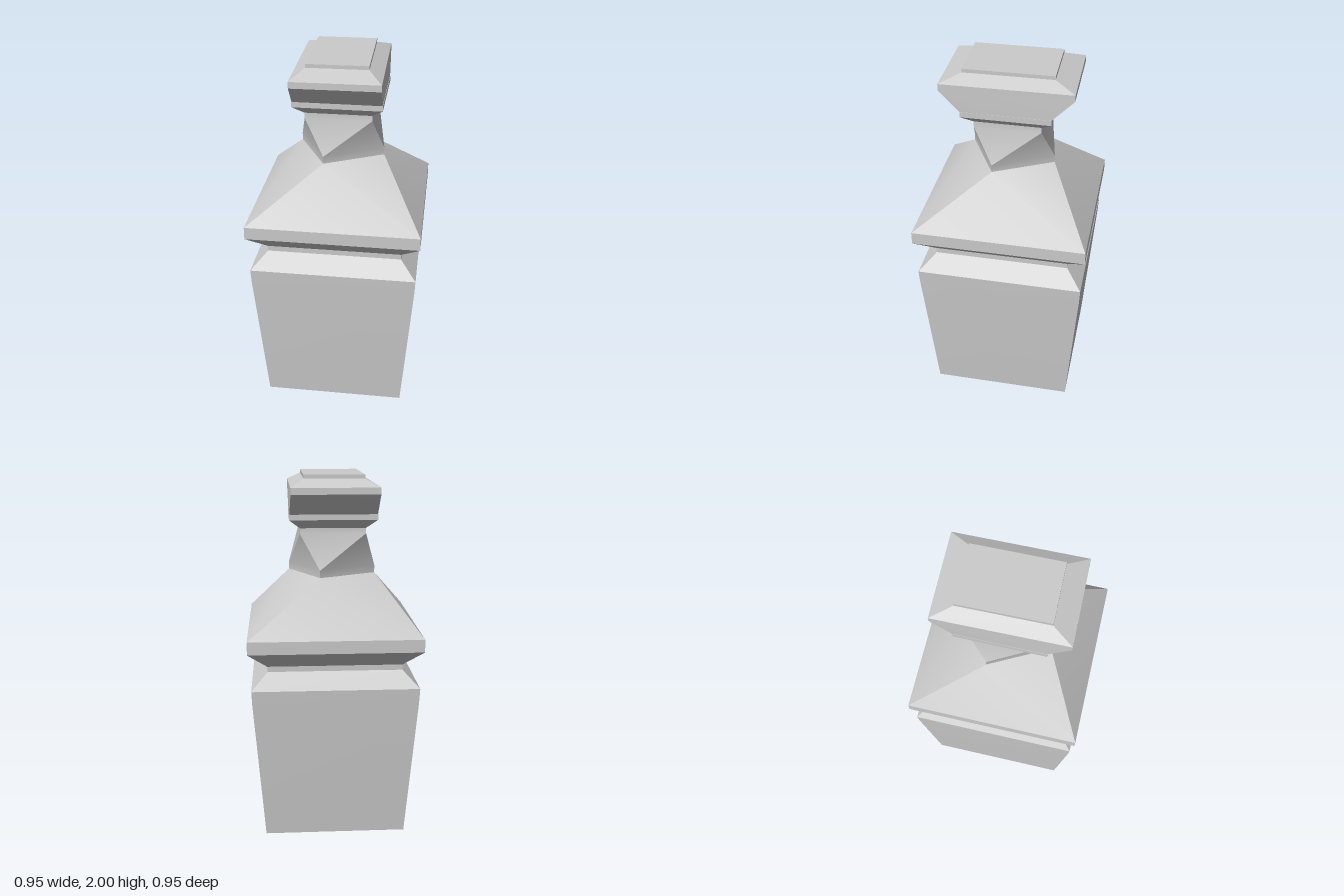
import * as THREE from 'three';
import { toCreasedNormals } from 'three/addons/utils/BufferGeometryUtils.js';

const CORNERS = [[-1, 1], [1, 1], [1, -1], [-1, -1]];

// Four corners of a rectangular section, turned about the vertical axis.
function ring({ y, x, z = x, turn = 0 }) {
  const t = THREE.MathUtils.degToRad(turn);
  const c = Math.cos(t), s = Math.sin(t);
  return CORNERS.map(([i, k]) => [i * x * c + k * z * s, y, k * z * c - i * x * s]);
}

// Closed solid through a stack of sections, listed from bottom to top.
function loft(name, sections, material) {
  const rings = sections.map(ring);
  const pos = [];
  const tri = (...points) => points.forEach((p) => pos.push(...p));
  for (let i = 0; i < rings.length - 1; i++) {
    const turnsMore = (sections[i + 1].turn ?? 0) > (sections[i].turn ?? 0);
    for (let k = 0; k < 4; k++) {
      const n = (k + 1) % 4;
      const a = rings[i][k], b = rings[i][n], c = rings[i + 1][n], d = rings[i + 1][k];
      // Split each twisted side so that it bulges outward.
      if (turnsMore) { tri(a, b, d); tri(b, c, d); }
      else { tri(a, b, c); tri(a, c, d); }
    }
  }
  const [p, q, r, s] = rings[0];
  tri(p, r, q); tri(p, s, r);
  const [e, f, g, h] = rings[rings.length - 1];
  tri(e, f, g); tri(e, g, h);

  const geometry = new THREE.BufferGeometry();
  geometry.setAttribute('position', new THREE.Float32BufferAttribute(pos, 3));
  const mesh = new THREE.Mesh(toCreasedNormals(geometry, 0.5), material);
  mesh.name = name;
  return mesh;
}

export function createModel() {
  const group = new THREE.Group();
  group.name = 'squareFinial';
  const material = new THREE.MeshStandardMaterial({ color: 0xcccccc });
  const twist = 27.65, lean = 0.8;

  group.add(
    // Tapered block with bevelled shoulder and recessed joint
    loft('body', [
      { y: 0, x: 0.393 },
      { y: 0.79, x: 0.453 },
      { y: 0.87, x: 0.457 },
      { y: 0.955, x: 0.37 },
      { y: 0.985, x: 0.37 },
    ], material),
    // Overhanging ledge whose roof twists in towards the neck
    loft('ledgeAndRoof', [
      { y: 0.985, x: 0.37 },
      { y: 1.08, x: 0.474 },
      { y: 1.15, x: 0.474 },
      { y: 1.445, x: 0.178, turn: twist },
    ], material),
    // Neck untwists on its way up
    loft('neck', [
      { y: 1.445, x: 0.178, turn: twist },
      { y: 1.485, x: 0.178, turn: twist },
      { y: 1.68, x: 0.181 },
      { y: 1.71, x: 0.181 },
    ], material),
    // Square collar under the head
    loft('collar', [
      { y: 1.71, x: 0.181 },
      { y: 1.76, x: 0.24 },
      { y: 1.79, x: 0.24 },
    ], material),
    // Oblong head flaring front and back, with bevelled top
    loft('head', [
      { y: 1.79, x: 0.238, z: 0.24 },
      { y: 1.905, x: 0.237, z: 0.352, turn: lean },
      { y: 1.94, x: 0.237, z: 0.352, turn: lean },
      { y: 1.98, x: 0.164, z: 0.242, turn: lean },
      { y: 2.0, x: 0.164, z: 0.242, turn: lean },
    ], material),
  );
  return group;
}
